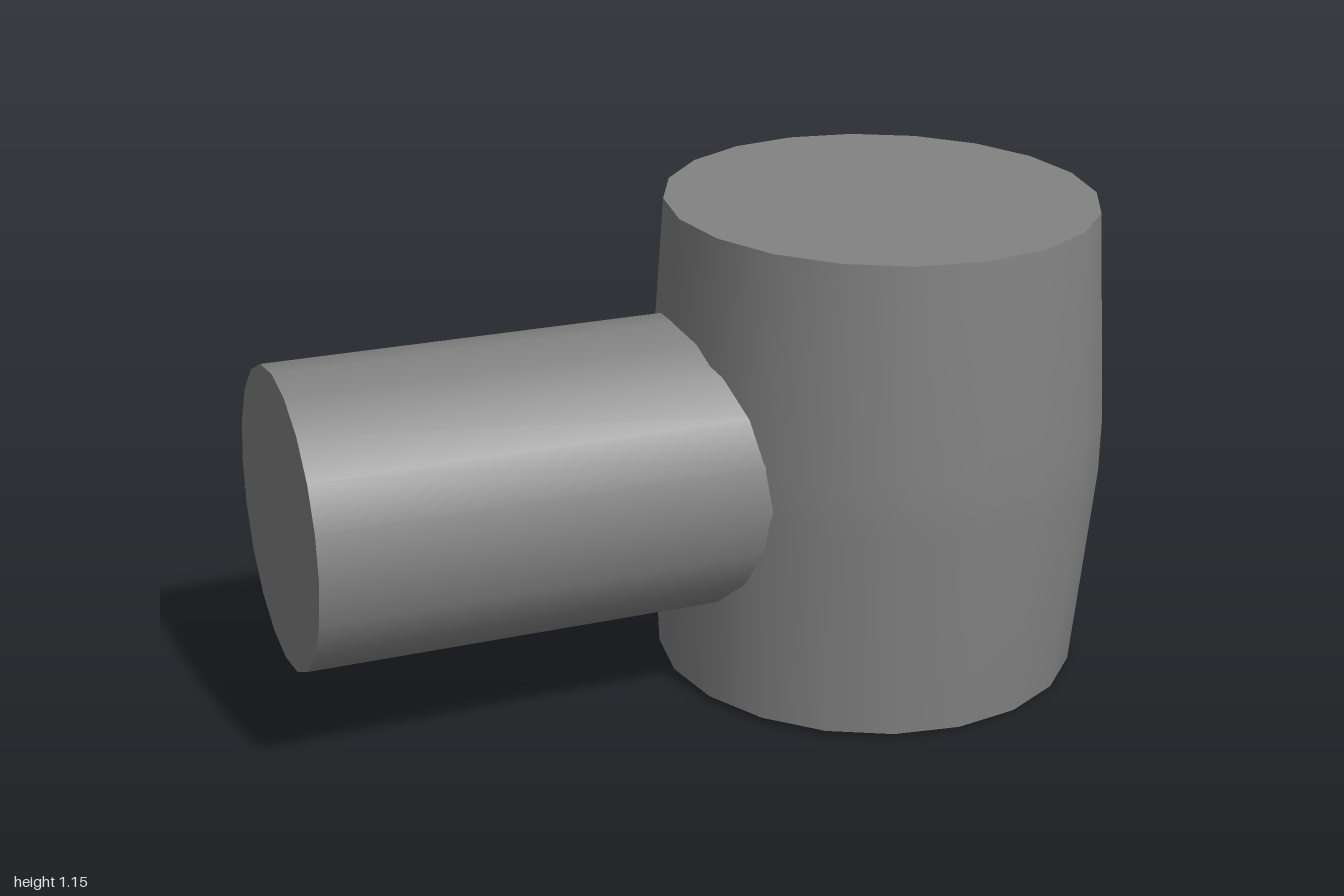
import * as THREE from 'three';
import { toCreasedNormals } from 'three/addons/utils/BufferGeometryUtils.js';

const SIDES = 20;

// Lays a y-axis mesh between two points.
function alignBetween(mesh, from, to) {
  mesh.position.copy(from).add(to).multiplyScalar(0.5);
  const axis = to.clone().sub(from).normalize();
  mesh.quaternion.setFromUnitVectors(new THREE.Vector3(0, 1, 0), axis);
  return mesh;
}

export function createModel() {
  const group = new THREE.Group();
  const material = new THREE.MeshStandardMaterial({ color: 0x828282 });

  // Head: capped barrel, its two inner rings pulled to the middle and swollen
  const bottom = new THREE.Vector3(0.446, 0.008, 0);
  const top = new THREE.Vector3(0.462, 1.145, 0);
  const height = top.distanceTo(bottom);
  const barrel = new THREE.CylinderGeometry(0.506, 0.506, height, SIDES, 3);
  const pos = barrel.attributes.position;
  for (let i = 0; i < pos.count; i++) {
    const y = pos.getY(i);
    if (Math.abs(y) > height * 0.4) continue;
    pos.setXYZ(i, pos.getX(i) * 1.064 + 0.005, Math.sign(y) * 0.065, pos.getZ(i) * 1.075);
  }
  const head = new THREE.Mesh(toCreasedNormals(barrel, 0.6), material);
  head.name = 'head';
  group.add(alignBetween(head, bottom, top));

  // Handle: straight round bar running into the side of the head
  const bar = new THREE.CylinderGeometry(0.345, 0.345, 1.1, SIDES);
  const handle = new THREE.Mesh(bar, material);
  handle.name = 'handle';
  group.add(alignBetween(handle,
    new THREE.Vector3(-0.994, 0.575, -0.017), new THREE.Vector3(0.106, 0.559, -0.006)));

  return group;
}
